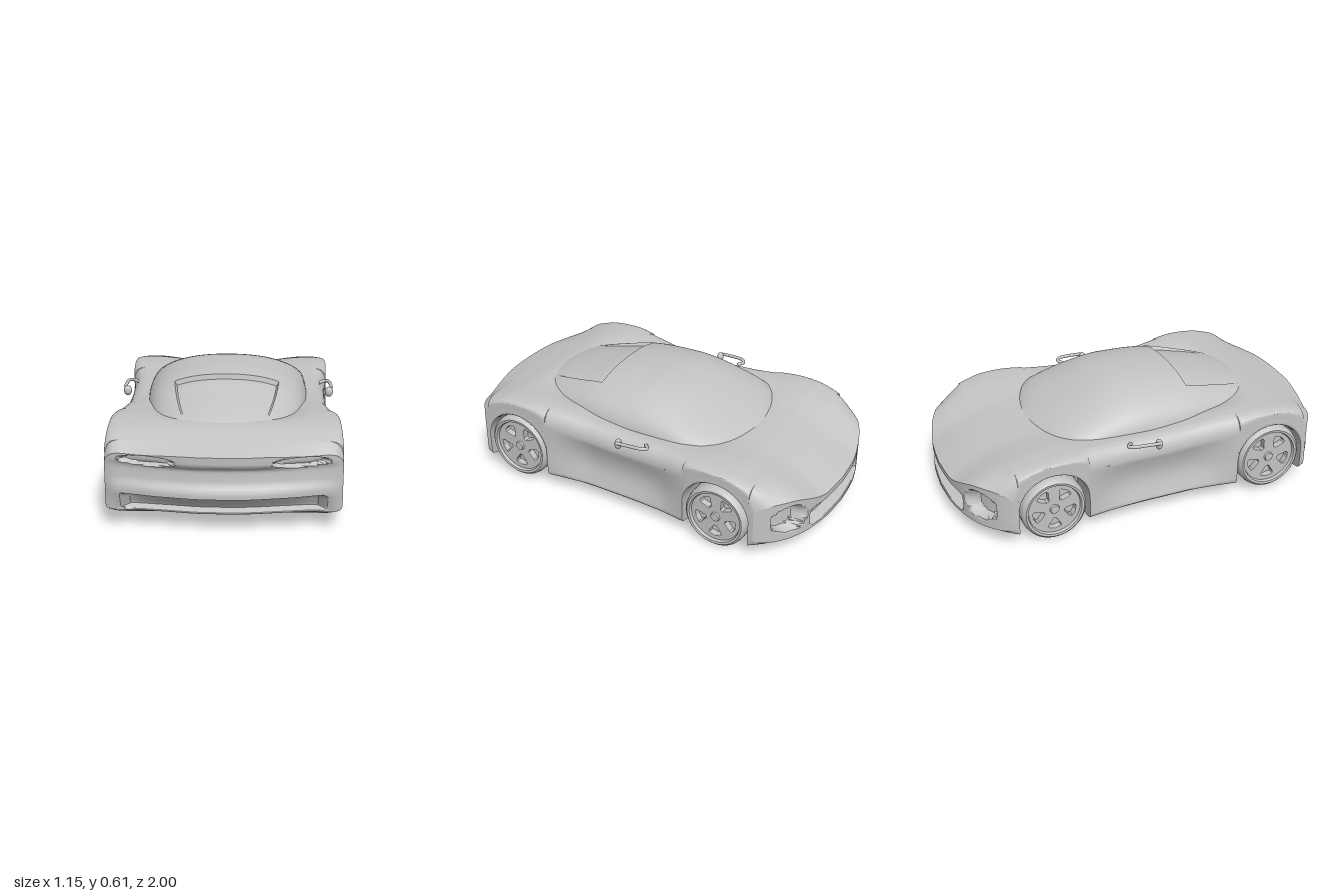
import * as THREE from 'three';
import { toCreasedNormals } from 'three/addons/utils/BufferGeometryUtils.js';

const paint = new THREE.MeshStandardMaterial({ color: 0xc4c4c4 });
paint.name = 'plain grey';

// Smooth interpolation through [position, value] pairs
function curve(table, t) {
  const n = table.length - 1;
  if (t <= table[0][0]) return table[0][1];
  if (t >= table[n][0]) return table[n][1];
  let i = 0;
  while (t > table[i + 1][0]) i++;
  const slope = (a, b) => (table[b][1] - table[a][1]) / (table[b][0] - table[a][0]);
  const m = (k) => {
    if (k === 0) return slope(0, 1);
    if (k === n) return slope(n - 1, n);
    const p = slope(k - 1, k), q = slope(k, k + 1);
    return p * q <= 0 ? 0 : 2 * p * q / (p + q);
  };
  const h = table[i + 1][0] - table[i][0], u = (t - table[i][0]) / h;
  const u2 = u * u, u3 = u2 * u;
  return (2 * u3 - 3 * u2 + 1) * table[i][1] + (u3 - 2 * u2 + u) * h * m(i)
    + (3 * u2 - 2 * u3) * table[i + 1][1] + (u3 - u2) * h * m(i + 1);
}
const smooth = (x, a, b) => THREE.MathUtils.smoothstep(x, a, b);
const lerp = THREE.MathUtils.lerp;

// Surface from rows of [x, y, z] points
function grid(rows, crease) {
  const w = rows[0].length, index = [];
  for (let r = 0; r < rows.length - 1; r++) for (let c = 0; c < w - 1; c++) {
    const a = r * w + c, d = a + w;
    index.push(a, a + 1, d, a + 1, d + 1, d);
  }
  const g = new THREE.BufferGeometry();
  g.setAttribute('position', new THREE.Float32BufferAttribute(rows.flat(2), 3));
  g.setIndex(index);
  return toCreasedNormals(g, crease);
}

function add(parent, name, geometry) {
  const mesh = new THREE.Mesh(geometry, paint);
  mesh.name = name;
  parent.add(mesh);
  return mesh;
}

// Body tables along the length (nose at -1, tail at +1)
const WIDTH = [[-1, .565], [-.55, .565], [-.4, .56], [-.2, .537], [0, .53], [.2, .53], [.35, .545], [.5, .565], [1, .565]];
const CENTRE = [[-1, .245], [-.9, .305], [-.8, .35], [-.7, .385], [-.6, .41], [-.5, .42], [-.3, .40], [.4, .41], [.68, .477], [.85, .45], [1, .412]];
const SHOULDER = [[-1, .315], [-.9, .355], [-.8, .385], [-.7, .41], [-.6, .432], [-.45, .44], [-.2, .432], [0, .43], [.2, .44], [.4, .465], [.6, .482], [.72, .475], [.85, .445], [1, .40]];
const FLOOR = [[-1, .095], [-.9, .075], [-.7, .055], [.4, .065], [.8, .075], [1, .095]];
const SCALLOP = [[-.38, 0], [-.1, .05], [.2, .05], [.47, 0]];
const NOSE_RAKE = [[0, 0], [.15, .01], [.3, .04], [.42, .09], [.5, .15], [.54, .19], [.565, .235]];
const TAIL_RAKE = [[0, .005], [.1, .008], [.3, .04], [.45, .08], [.53, .1], [.565, .125]];
const TAIL_SHAPE = [[.08, -.1], [.1, -.09], [.17, -.03], [.205, 0], [.23, 0], [.27, -.03], [.33, -.035], [.37, -.004], [.41, 0]];
const WHEELS = [{ name: 'front', z: -.55, y: .178, r: .17, arch: .187 }, { name: 'rear', z: .66, y: .2, r: .18, arch: .19 }];

const TOP = [...Array.from({ length: 22 }, (_, i) => i * .67 / 21), ...Array.from({ length: 9 }, (_, i) => .675 + i * .205 / 8)];
const SIDE = new THREE.SplineCurve([[.88, 0], [.94, .03], [.98, .1], [.998, .18], [1, .28], [1, .46], [1, .66], [1, .85], [.985, .96], [.88, 1]]
  .map(([x, y]) => new THREE.Vector2(x, y))).getPoints(36);

// Edge height of the body side, lifted over the wheels
function sideEdge(s) {
  for (const w of WHEELS) {
    const d = s - w.z;
    if (Math.abs(d) < w.arch) return w.y + Math.sqrt(w.arch ** 2 - d * d);
  }
  return curve(FLOOR, s);
}
const topHeight = (s, f) => lerp(curve(CENTRE, s), curve(SHOULDER, s), smooth(f, .3, .8));

// Rounds the nose and tail in plan and shapes the tail panel
function warp(x, y, s) {
  const ax = Math.abs(x);
  if (s < -.737) return s + curve(NOSE_RAKE, ax) * (-s - .737) / .263;
  if (s > .85) {
    const k = (s - .85) / .15;
    return s + k * (curve(TAIL_SHAPE, y) * (1 - (ax / .565) ** 4) * .85 - curve(TAIL_RAKE, ax));
  }
  return s;
}
const sidePoint = (s, p) => {
  const hollow = curve(SCALLOP, s) * Math.sin(Math.PI * THREE.MathUtils.clamp((p.y - .25) / .68, 0, 1));
  return [curve(WIDTH, s) * (p.x - hollow), lerp(curve(SHOULDER, s), sideEdge(s), p.y)];
};

function bodyShell() {
  const stations = Array.from({ length: 81 }, (_, i) => -1 + i / 40);
  for (const w of WHEELS) {
    for (let i = 0; i <= 28; i++) stations.push(w.z - w.arch * .9999 * Math.cos(Math.PI * i / 28));
    stations.push(w.z - w.arch * 1.002, w.z + w.arch * 1.002);
  }
  stations.sort((a, b) => a - b);
  const rows = stations.map((s) => {
    const w = curve(WIDTH, s);
    const half = [
      ...TOP.map((f) => [f * w, topHeight(s, f)]),
      ...SIDE.slice(1, -1).map((p) => sidePoint(s, p)),
      ...[...TOP].reverse().map((f) => [f * w, f > .672 ? sideEdge(s) : curve(FLOOR, s)]),
    ].map(([x, y]) => [x, y, warp(x, y, s)]);
    return [...half.map(([x, y, z]) => [-x, y, z]), ...half.slice(0, -1).reverse()];
  });
  return grid(rows, .6);
}

// Hollows pressed into the nose and tail panels
const oval = (x, y, cx, cy, rx, ry) => 1 - smooth(Math.hypot((x - cx) / rx, (y - cy) / ry), .72, 1.05);
function noseHollow(x, y) {
  const grille = (1 - smooth(x, .24, .32)) * smooth(y, .11, .125) * (1 - smooth(y, .18, .215));
  return .06 * grille + .06 * oval(x, y, .425, .21, .085, .075);
}
function tailHollow(x, y) {
  const diffuser = (1 - smooth(x, .44, .5)) * smooth(y, .1, .115) * (1 - smooth(y, .18, .195));
  return -.035 * oval(x, y, .36, .372, .14, .026) - .05 * diffuser;
}

function endPanel(s) {
  const w = curve(WIDTH, s), low = curve(FLOOR, s);
  const rows = SIDE.map((p, j) => {
    const half = TOP.map((f) => {
      const x = f * w + (p.x - .88) * w * (f / .88) ** 6;
      const y = lerp(topHeight(s, f), low, p.y);
      const edge = f === TOP[TOP.length - 1] || j === 0 || j === SIDE.length - 1;
      const hollow = edge ? 0 : s < 0 ? noseHollow(x, y) : tailHollow(x, y);
      return [x, y, warp(x, y, s) + hollow];
    });
    const row = [...half.slice(1).reverse().map(([x, y, z]) => [-x, y, z]), ...half];
    return s < 0 ? row : row.reverse();
  });
  return grid(rows, .6);
}

// Cabin with sunken rear window
const ROOF = [[-.535, .41], [-.45, .457], [-.3, .525], [-.15, .583], [-.05, .607], [.02, .614], [.15, .613], [.295, .601], [.45, .56], [.65, .497], [.72, .465]];
const CABIN_WIDTH = [[-.535, .02], [-.515, .13], [-.49, .22], [-.43, .345], [-.36, .405], [-.25, .425], [0, .428], [.2, .42], [.35, .40], [.5, .365], [.65, .31], [.72, .26]];
function cabin() {
  const stations = [...Array.from({ length: 64 }, (_, i) => -.535 + i * .83 / 63), ...Array.from({ length: 40 }, (_, i) => .3 + i * .42 / 39)];
  const rows = stations.map((z) => Array.from({ length: 81 }, (_, i) => {
    const a = Math.PI * i / 80, c = Math.cos(a), e = 2 / 2.3;
    const u = Math.sign(c) * Math.abs(c) ** e;
    const sunk = z >= .3 && Math.abs(u) < .65 ? .026 * Math.max(0, 1 - (z - .3) / .4) : 0;
    return [u * curve(CABIN_WIDTH, z), .39 + (curve(ROOF, z) - .39) * Math.abs(Math.sin(a)) ** e - sunk, z];
  }));
  return grid(rows, .5);
}

// Wheel facing +x: tyre, dished rim and five-hole face
function wheel(spec) {
  const g = new THREE.Group(), r = spec.r;
  g.name = spec.name + 'Wheel';
  const profile = [[0, -.07], [.7, -.07], [.9, -.075], [.97, -.06], [1, -.035], [1, .04], [.97, .063], [.9, .075], [.83, .073], [.8, .058], [.78, .02], [0, .02]];
  const tyre = new THREE.LatheGeometry(profile.map(([q, h]) => new THREE.Vector2(q * r, h)), 56);
  tyre.rotateZ(-Math.PI / 2);
  add(g, 'tyre', toCreasedNormals(tyre, .6));

  const face = new THREE.Shape().absarc(0, 0, r * .81, 0, Math.PI * 2);
  for (let k = 0; k < 5; k++) {
    const mid = -Math.PI / 2 + k * Math.PI * 2 / 5;
    const at = (q, a) => new THREE.Vector2(Math.cos(mid + a) * q * r, Math.sin(mid + a) * q * r);
    const hole = new THREE.Path([at(.32, -.16), at(.6, -.36), at(.68, -.3), at(.7, 0), at(.68, .3), at(.6, .36), at(.32, .16)]);
    hole.closePath();
    face.holes.push(hole);
  }
  const rim = new THREE.ExtrudeGeometry(face, { depth: .03, bevelEnabled: true, bevelSize: .003, bevelThickness: .004, bevelSegments: 2, curveSegments: 40 });
  rim.rotateY(Math.PI / 2);
  add(g, 'rimFace', rim).position.x = .024;
  const hub = new THREE.CylinderGeometry(.022, .028, .014, 24).rotateZ(-Math.PI / 2);
  add(g, 'hubCap', hub).position.x = .06;
  return g;
}

// Curved-arm mirror for the +x side
function mirror() {
  const g = new THREE.Group();
  g.name = 'wingMirror';
  const path = new THREE.CatmullRomCurve3([[.5, .425, -.12], [.535, .43, -.145], [.555, .434, -.125], [.564, .434, -.06], [.566, .43, .015]]
    .map((p) => new THREE.Vector3(...p)));
  add(g, 'mirrorArm', new THREE.TubeGeometry(path, 28, .009, 10));
  const vane = add(g, 'mirrorGlassHousing', new THREE.SphereGeometry(1, 24, 16));
  vane.scale.set(.022, .028, .018);
  vane.position.set(.55, .418, .015);
  return g;
}

export function createModel() {
  const car = new THREE.Group();
  car.name = 'sportsCar';
  add(car, 'bodyShell', bodyShell());
  add(car, 'nosePanel', endPanel(-1));
  add(car, 'tailPanel', endPanel(1));
  add(car, 'cabin', cabin());
  for (const side of [1, -1]) {
    for (const spec of WHEELS) {
      const w = wheel(spec);
      w.position.set(side * .491, spec.y + (spec.name === 'front' ? -.008 : 0), spec.z);
      if (side < 0) w.rotation.y = Math.PI;
      car.add(w);
    }
    const m = mirror();
    m.scale.x = side;
    car.add(m);
    // Slim vent behind the front wheel
    add(car, 'sideVent', new THREE.BoxGeometry(.008, .006, .12)).position.set(side * .541, .345, -.31);
  }
  return car;
}
